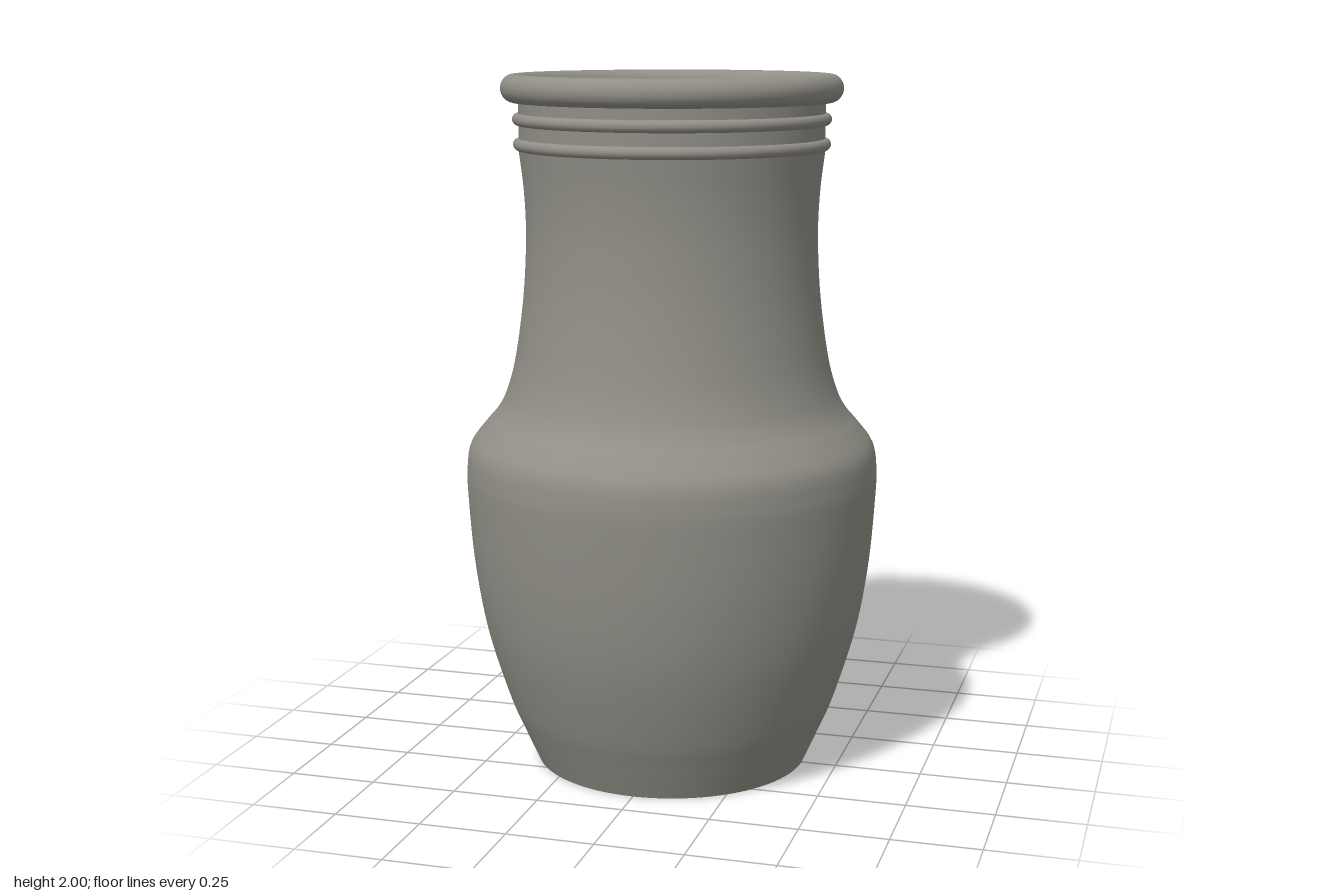
import * as THREE from 'three';

const SEGMENTS = 96;

// Smooth curve through [radius, height] pairs
function smooth(pairs, count) {
  return new THREE.SplineCurve(pairs.map(([r, y]) => new THREE.Vector2(r, y))).getPoints(count);
}

// Elliptical profile arc, angles in degrees
function arc(r, y, rx, ry, from, to, count = 16) {
  return Array.from({ length: count + 1 }, (_, i) => {
    const a = THREE.MathUtils.degToRad(from + (to - from) * i / count);
    return new THREE.Vector2(r + rx * Math.cos(a), y + ry * Math.sin(a));
  });
}

const line = (...pairs) => pairs.map(([r, y]) => new THREE.Vector2(r, y));

export function createModel() {
  const group = new THREE.Group();
  group.name = 'vase';
  const clay = new THREE.MeshStandardMaterial({ color: 0x908e86 });
  clay.name = 'grey clay';

  // Each profile section is its own lathe, so the joins stay crisp
  const turn = (name, points) => {
    const mesh = new THREE.Mesh(new THREE.LatheGeometry(points, SEGMENTS), clay);
    mesh.name = name;
    group.add(mesh);
  };

  // Underside with drain hole
  turn('underside', line([0.05, 0], [0.398, 0]));

  // Belly, shoulder and neck
  turn('outerBody', smooth([
    [0.398, 0], [0.442, 0.1], [0.483, 0.2], [0.543, 0.4], [0.577, 0.6], [0.593, 0.8],
    [0.594, 0.88], [0.583, 0.945], [0.543, 1.0], [0.505, 1.045], [0.477, 1.1], [0.45, 1.2],
    [0.425, 1.38], [0.416, 1.55], [0.421, 1.68], [0.434, 1.79],
  ], 96));

  // Collar with two raised beads
  turn('collar', line([0.432, 1.78], [0.434, 1.93]));
  for (const [name, y, r] of [['lowerBead', 1.805, 0.432], ['upperBead', 1.875, 0.434]]) {
    turn(name, arc(r, y, 0.017, 0.017, -90, 90, 10));
  }

  // Rounded lip
  turn('lip', [
    ...line([0.43, 1.922]),
    ...arc(0.447, 1.961, 0.036, 0.039, -90, 90),
    ...arc(0.44, 1.961, 0.035, 0.039, 90, 180),
  ]);

  // Inner wall following the outer shape
  turn('innerWall', smooth([
    [0.405, 1.961], [0.398, 1.9], [0.392, 1.79], [0.38, 1.68], [0.375, 1.55], [0.384, 1.38],
    [0.409, 1.2], [0.436, 1.1], [0.47, 1.035], [0.512, 0.985], [0.543, 0.93], [0.554, 0.88],
    [0.553, 0.8], [0.537, 0.6], [0.503, 0.4], [0.443, 0.2], [0.402, 0.1], [0.376, 0.04],
  ], 96));

  // Inner floor and drain hole wall
  turn('innerFloor', line([0.376, 0.04], [0.05, 0.04]));
  turn('drainHole', line([0.05, 0.04], [0.05, 0]));

  return group;
}
